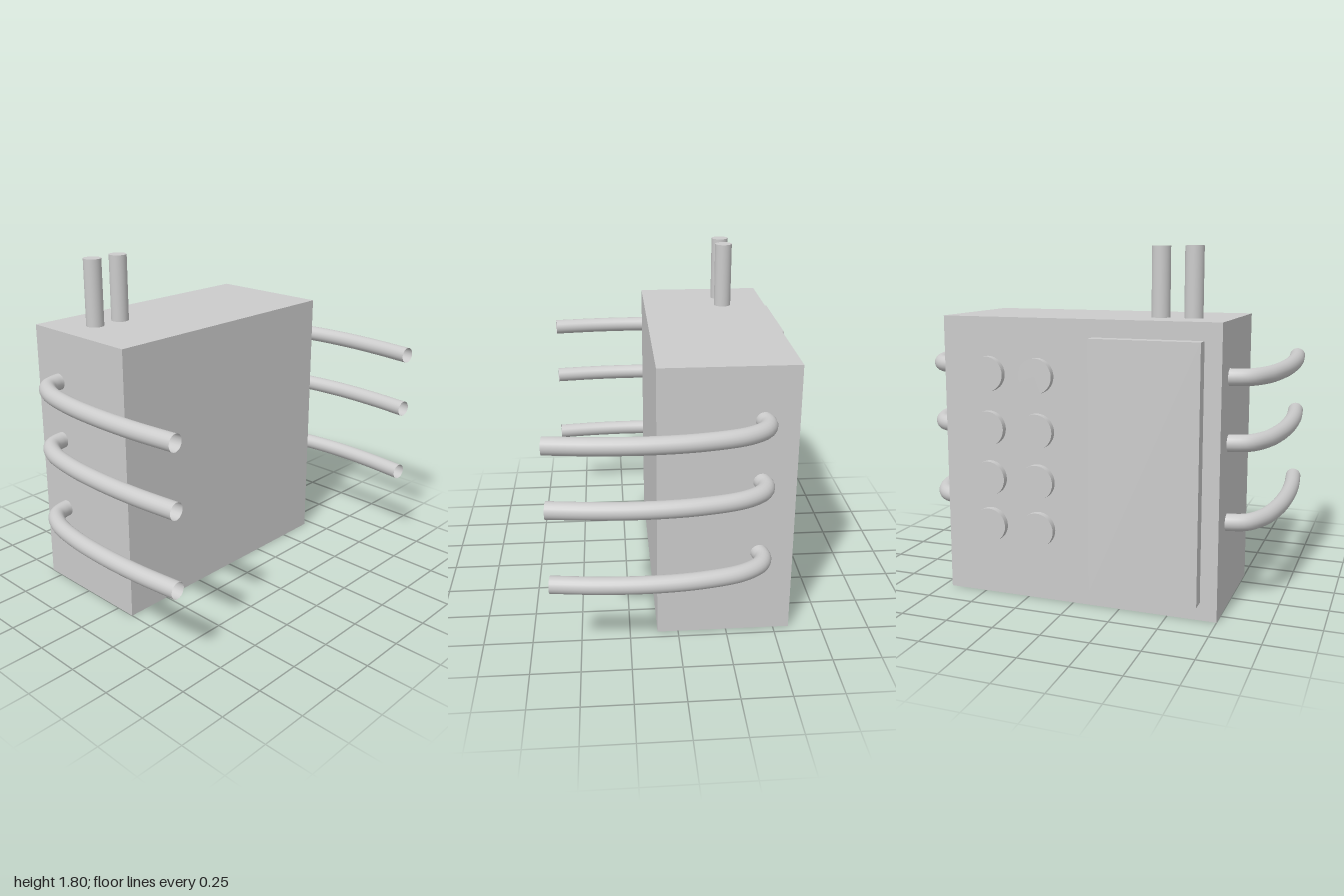
import * as THREE from 'three';

export function createModel() {
  const model = new THREE.Group();
  const solid = new THREE.MeshStandardMaterial({ color: 0xcccccc });
  const open = new THREE.MeshStandardMaterial({ color: 0xcccccc, side: THREE.DoubleSide });

  function add(name, geometry, x, y, z, material = solid) {
    const mesh = new THREE.Mesh(geometry, material);
    mesh.name = name;
    mesh.position.set(x, y, z);
    model.add(mesh);
    return mesh;
  }

  // Box spanning the given limits
  function addBox(name, [x0, x1], [y0, y1], [z0, z1]) {
    const geometry = new THREE.BoxGeometry(x1 - x0, y1 - y0, z1 - z0);
    add(name, geometry, (x0 + x1) / 2, (y0 + y1) / 2, (z0 + z1) / 2);
  }

  // Main housing and the raised panel on its back
  addBox('housing', [-0.75, 0.705], [0, 1.455], [-0.582, 0.108]);
  addBox('backPanel', [-0.665, -0.11], [0.09, 1.367], [-0.652, -0.582]);

  // Two rows of upright pipes on the top
  const pipe = new THREE.CylinderGeometry(0.047, 0.047, 0.35, 32);
  for (const x of [-0.55, -0.382]) add('topPipe', pipe, x, 1.63, -0.34);

  // Round knobs on the back, two columns of four
  const knob = new THREE.CylinderGeometry(0.09, 0.09, 0.034, 32).rotateX(Math.PI / 2);
  for (const x of [0.187, 0.455]) {
    for (const y of [0.374, 0.624, 0.886, 1.167]) add('knob', knob, x, y, -0.599);
  }

  // Open hoses that leave the sides and bend forward, as [x, z] paths
  const hose = (path) => new THREE.TubeGeometry(
    new THREE.CatmullRomCurve3(path.map(([x, z]) => new THREE.Vector3(x, 0, z))), 48, 0.043, 20);
  const rightHose = hose([[-0.73, -0.407], [-0.775, -0.403], [-0.845, -0.374], [-0.906, -0.267],
    [-0.944, -0.075], [-0.957, 0.15], [-0.95, 0.4], [-0.925, 0.647]]);
  const leftHose = hose([[0.69, -0.406], [0.754, -0.42], [0.818, -0.395], [0.885, -0.3],
    [0.936, -0.1], [0.957, 0.14], [0.949, 0.39], [0.922, 0.632]]);
  for (const y of [0.457, 0.857, 1.181]) {
    add('rightHose', rightHose, 0, y, 0, open);
    add('leftHose', leftHose, 0, y, 0, open);
  }

  return model;
}
